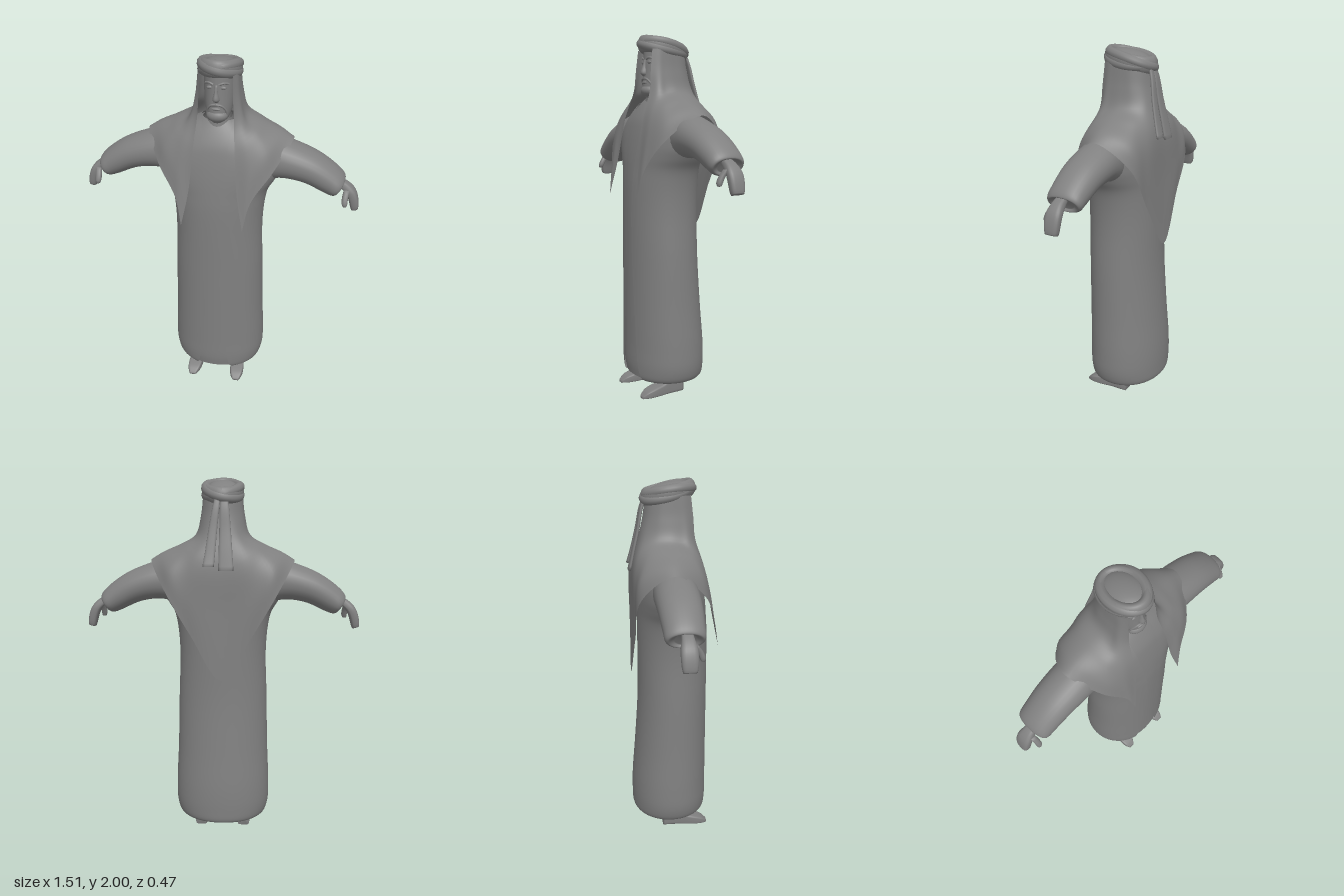
import * as THREE from 'three';

const V = (x, y, z) => new THREE.Vector3(x, y, z);
const mat = new THREE.MeshStandardMaterial({ color: 0x808080, side: THREE.DoubleSide });
const spow = (v, e) => Math.sign(v) * Math.abs(v) ** e;

// Oval cross-section c + U sin + W cos; a0 > 0 leaves a gap around W
function oval(c, U, W, n = 24, e = 1, a0 = 0) {
  const pts = [], span = 2 * Math.PI - 2 * a0, last = a0 > 0 ? n - 1 : n;
  for (let i = 0; i < n; i++) {
    const a = a0 + span * i / last;
    pts.push(c.clone().addScaledVector(U, spow(Math.sin(a), e)).addScaledVector(W, spow(Math.cos(a), e)));
  }
  return pts;
}

// Smooth interpolation of a list of equal-length rows
function blend(rows, steps) {
  const curves = rows[0].map((_, j) => new THREE.CatmullRomCurve3(rows.map(r => r[j])));
  return Array.from({ length: steps + 1 }, (_, i) => curves.map(c => c.getPoint(i / steps)));
}

// Skin a list of rows
function skin(name, rows, closed = true, cap = false) {
  if (cap) {
    const mid = r => { const m = r.reduce((s, p) => s.add(p), V(0, 0, 0)).divideScalar(r.length); return r.map(() => m); };
    rows = [mid(rows[0]), ...rows, mid(rows[rows.length - 1])];
  }
  const n = rows[0].length, idx = [], m = closed ? n : n - 1;
  for (let i = 0; i < rows.length - 1; i++) for (let j = 0; j < m; j++) {
    const a = i * n + j, b = i * n + (j + 1) % n;
    idx.push(a, b, a + n, b, b + n, a + n);
  }
  const g = new THREE.BufferGeometry().setFromPoints(rows.flat());
  g.setIndex(idx);
  g.computeVertexNormals();
  const mesh = new THREE.Mesh(g, mat);
  mesh.name = name;
  return mesh;
}

function ball(name, x, y, z, sx, sy, sz) {
  const mesh = new THREE.Mesh(new THREE.SphereGeometry(1, 20, 14), mat);
  mesh.position.set(x, y, z);
  mesh.scale.set(sx, sy, sz);
  mesh.name = name;
  return mesh;
}

function tube(name, pts, r, closed = false) {
  const curve = new THREE.CatmullRomCurve3(pts, closed);
  const mesh = new THREE.Mesh(new THREE.TubeGeometry(curve, closed ? 64 : 14, r, 10, closed), mat);
  mesh.name = name;
  return mesh;
}

export function createModel() {
  const model = new THREE.Group();
  const add = (...m) => model.add(...m);
  const level = (y, rx, zf, zb, n, e, a0) =>
    oval(V(0, y, (zf + zb) / 2), V(rx, 0, 0), V(0, 0, (zf - zb) / 2), n, e, a0);

  // Robes: height, half width, front z, back z, half gap of the front opening
  const robe = [
    [0.14, 0.215, 0.16, -0.185, 0.115], [0.088, 0.228, 0.178, -0.212, 0.115], [0.10, 0.248, 0.193, -0.225, 0.098],
    [0.16, 0.266, 0.2, -0.23, 0.08], [0.28, 0.268, 0.2, -0.228, 0.066], [0.5, 0.258, 0.2, -0.21, 0.05],
    [0.8, 0.25, 0.2, -0.19, 0.028], [1.05, 0.242, 0.2, -0.187, 0.025], [1.2, 0.252, 0.197, -0.187, 0.032],
    [1.28, 0.27, 0.191, -0.187, 0.04], [1.34, 0.305, 0.185, -0.187, 0.046], [1.4, 0.332, 0.177, -0.186, 0.052],
    [1.48, 0.332, 0.163, -0.18, 0.06], [1.55, 0.275, 0.145, -0.165, 0.066],
    [1.62, 0.19, 0.11, -0.14, 0.072], [1.67, 0.1, 0.075, -0.09, 0.075]];
  add(skin('outerRobe', blend(robe.map(([y, rx, f, b, g]) =>
    level(y, rx, f, b, 64, 0.96, Math.asin(Math.min(0.9, g / rx)))), 75), false));
  add(skin('innerRobe', blend(robe.slice(2).map(([y, rx, f, b]) =>
    level(y, rx - 0.012, f - 0.008, b + 0.012, 48, 0.96)), 50)));

  // Collar and neck
  add(skin('neck', [level(1.56, 0.06, 0.07, -0.06), level(1.72, 0.052, 0.065, -0.06)]));
  add(skin('collar', blend([level(1.59, 0.085, 0.1, -0.08), level(1.64, 0.072, 0.087, -0.07),
    level(1.68, 0.068, 0.082, -0.065)], 8)));

  // Head
  const head = [[1.665, 0.028, 0.09, 0.02], [1.68, 0.05, 0.1, -0.02], [1.71, 0.064, 0.105, -0.06],
    [1.76, 0.074, 0.103, -0.09], [1.81, 0.079, 0.1, -0.11], [1.86, 0.08, 0.098, -0.115], [1.93, 0.078, 0.095, -0.11]];
  add(skin('head', blend(head.map(h => level(...h, 28)), 20), true, true));
  add(skin('nose', blend([
    oval(V(0, 1.868, 0.092), V(0.008, 0, 0), V(0, 0, 0.008), 12),
    oval(V(0, 1.83, 0.096), V(0.01, 0, 0), V(0, 0, 0.016), 12),
    oval(V(0, 1.795, 0.098), V(0.018, 0, 0), V(0, 0, 0.024), 12),
    oval(V(0, 1.782, 0.096), V(0.013, 0, 0), V(0, 0, 0.012), 12)], 10), true, true));
  add(ball('beard', 0, 1.702, 0.07, 0.056, 0.036, 0.044));
  add(ball('lips', 0, 1.745, 0.1, 0.024, 0.008, 0.01));

  for (const s of [-1, 1]) {
    // Facial features
    add(ball('eye', s * 0.034, 1.853, 0.088, 0.016, 0.009, 0.007));
    add(tube('eyebrow', [V(s * 0.014, 1.87, 0.095), V(s * 0.036, 1.878, 0.09), V(s * 0.058, 1.87, 0.07)], 0.006));
    add(tube('moustache', [V(0, 1.768, 0.102), V(s * 0.025, 1.763, 0.098), V(s * 0.046, 1.738, 0.083), V(s * 0.052, 1.71, 0.072)], 0.006));

    // Sleeves: top x, y, bottom x, y, half depth
    const sleeve = [[0.16, 1.59, 0.2, 1.3, 0.09], [0.26, 1.585, 0.25, 1.325, 0.11], [0.38, 1.553, 0.33, 1.35, 0.115],
      [0.52, 1.497, 0.45, 1.337, 0.11], [0.62, 1.43, 0.565, 1.287, 0.102], [0.665, 1.385, 0.605, 1.275, 0.097],
      [0.672, 1.365, 0.618, 1.28, 0.085], [0.65, 1.36, 0.61, 1.295, 0.05]];
    add(skin('sleeve', blend(sleeve.map(([tx, ty, bx, by, d]) => oval(
      V(s * (tx + bx) / 2, (ty + by) / 2, -0.015), V(0, 0, d), V(s * (tx - bx) / 2, (ty - by) / 2, 0), 28, 0.95)), 36), true, true));

    // Hands: centre x, y, half depth, half thickness
    const hand = [[0.62, 1.36, 0.026, 0.025], [0.665, 1.335, 0.032, 0.027], [0.703, 1.3, 0.041, 0.025],
      [0.722, 1.26, 0.042, 0.024], [0.733, 1.215, 0.038, 0.022], [0.736, 1.197, 0.033, 0.019]];
    add(skin('hand', blend(hand.map(([x, y, d, t]) => oval(
      V(s * x, y, -0.008), V(0, 0, d), V(s * t, t * 0.3, 0), 20, 0.65)), 16), true, true));
    const thumb = [[0.685, 1.315, 0.02, 0.016], [0.68, 1.28, 0.045, 0.016], [0.68, 1.25, 0.058, 0.015], [0.682, 1.235, 0.06, 0.01]];
    add(skin('thumb', blend(thumb.map(([x, y, z, r]) => oval(
      V(s * x, y, z), V(0, 0, r), V(s * r, 0, 0), 12, 0.8)), 9), true, true));

    // Shoes (z, top, half width) and legs
    const shoe = [[-0.064, 0.09, 0.034], [-0.03, 0.1, 0.037], [0.015, 0.095, 0.037], [0.06, 0.066, 0.038],
      [0.12, 0.052, 0.041], [0.165, 0.036, 0.034], [0.195, 0.012, 0.018]];
    add(skin('shoe', blend(shoe.map(([z, h, w]) => oval(
      V(s * (0.124 + Math.max(0, z) * 0.06), h / 2, z), V(w, 0, 0), V(0, h / 2, 0), 24, 0.35)), 24), true, true));
    const leg = new THREE.Mesh(new THREE.CylinderGeometry(0.08, 0.036, 0.5, 20), mat);
    leg.position.set(s * 0.122, 0.31, -0.02);
    leg.name = 'leg';
    add(leg);
  }

  // Headcloth: half of its columns, front edge to back centre, each from brow to hem
  const half = [
    [[0.083, 1.92, 0.095], [0.088, 1.8, 0.108], [0.094, 1.7, 0.117], [0.108, 1.55, 0.165], [0.128, 1.32, 0.203], [0.165, 1.125, 0.238]],
    [[0.1, 1.92, 0.06], [0.112, 1.8, 0.07], [0.132, 1.7, 0.085], [0.172, 1.58, 0.145], [0.195, 1.45, 0.18], [0.2, 1.28, 0.208]],
    [[0.105, 1.915, 0.03], [0.117, 1.8, 0.035], [0.145, 1.69, 0.045], [0.22, 1.62, 0.09], [0.275, 1.54, 0.122], [0.305, 1.44, 0.138]],
    [[0.105, 1.91, -0.02], [0.118, 1.8, -0.02], [0.148, 1.7, -0.02], [0.23, 1.65, -0.025], [0.32, 1.61, -0.03], [0.39, 1.568, -0.03]],
    [[0.096, 1.9, -0.07], [0.107, 1.8, -0.08], [0.13, 1.7, -0.1], [0.2, 1.63, -0.14], [0.28, 1.53, -0.185], [0.31, 1.43, -0.19]],
    [[0.06, 1.89, -0.12], [0.067, 1.8, -0.13], [0.085, 1.7, -0.155], [0.14, 1.58, -0.2], [0.18, 1.4, -0.215], [0.165, 1.18, -0.212]],
    [[0, 1.89, -0.138], [0, 1.8, -0.15], [0, 1.7, -0.172], [0, 1.55, -0.21], [0, 1.3, -0.216], [0, 0.938, -0.226]]];
  const columns = [...half, ...half.slice(0, -1).reverse().map(c => c.map(([x, y, z]) => [-x, y, z]))]
    .map(c => c.map(p => V(...p)));
  add(skin('headcloth', blend(columns, 84).map(c => new THREE.CatmullRomCurve3(c).getPoints(30)), false));

  // Crown and headband, tilted down to the back
  const crown = ball('crown', 0, 1.935, -0.015, 0.088, 0.046, 0.122);
  crown.rotation.x = -0.2;
  add(crown);
  const bandPoint = (a, out, up) => {
    const z = -(0.118 + out) * Math.cos(a);
    return V((0.086 + out) * Math.sin(a), 1.93 + 0.2 * z + up, -0.015 + z);
  };
  const turns = Array.from({ length: 49 }, (_, i) => i * Math.PI / 24);
  add(skin('headband', turns.map(a => oval(bandPoint(a, 0, 0),
    V(0.027 * Math.sin(a), 0, -0.027 * Math.cos(a)), V(0, 0.045, 0), 18))));
  for (const s of [-1, 1]) {
    add(tube('headbandStrand', turns.slice(0, -1).map(a =>
      bandPoint(a, 0.003 + s * 0.004 * Math.cos(a), s * 0.021 * Math.sin(a - 0.3))), 0.027, true));
  }

  // Band tails hanging down the back
  for (const [x0, x1, end, wide] of [[-0.012, -0.024, 1.53, 0.04], [0.022, 0.068, 1.55, 0.03]]) {
    const tail = [[0, 1.9, -0.142, 0.5], [0.2, 1.84, -0.16, 0.62], [0.5, 1.74, -0.178, 0.75],
      [0.8, 1.62, -0.206, 0.9], [1, end, -0.226, 1]];
    add(skin('bandTail', blend(tail.map(([t, y, z, w]) => oval(
      V(x0 + (x1 - x0) * t, y, z), V(w * wide, 0, 0), V(0, 0, 0.009), 16, 0.7)), 16), true, true));
  }
  return model;
}
